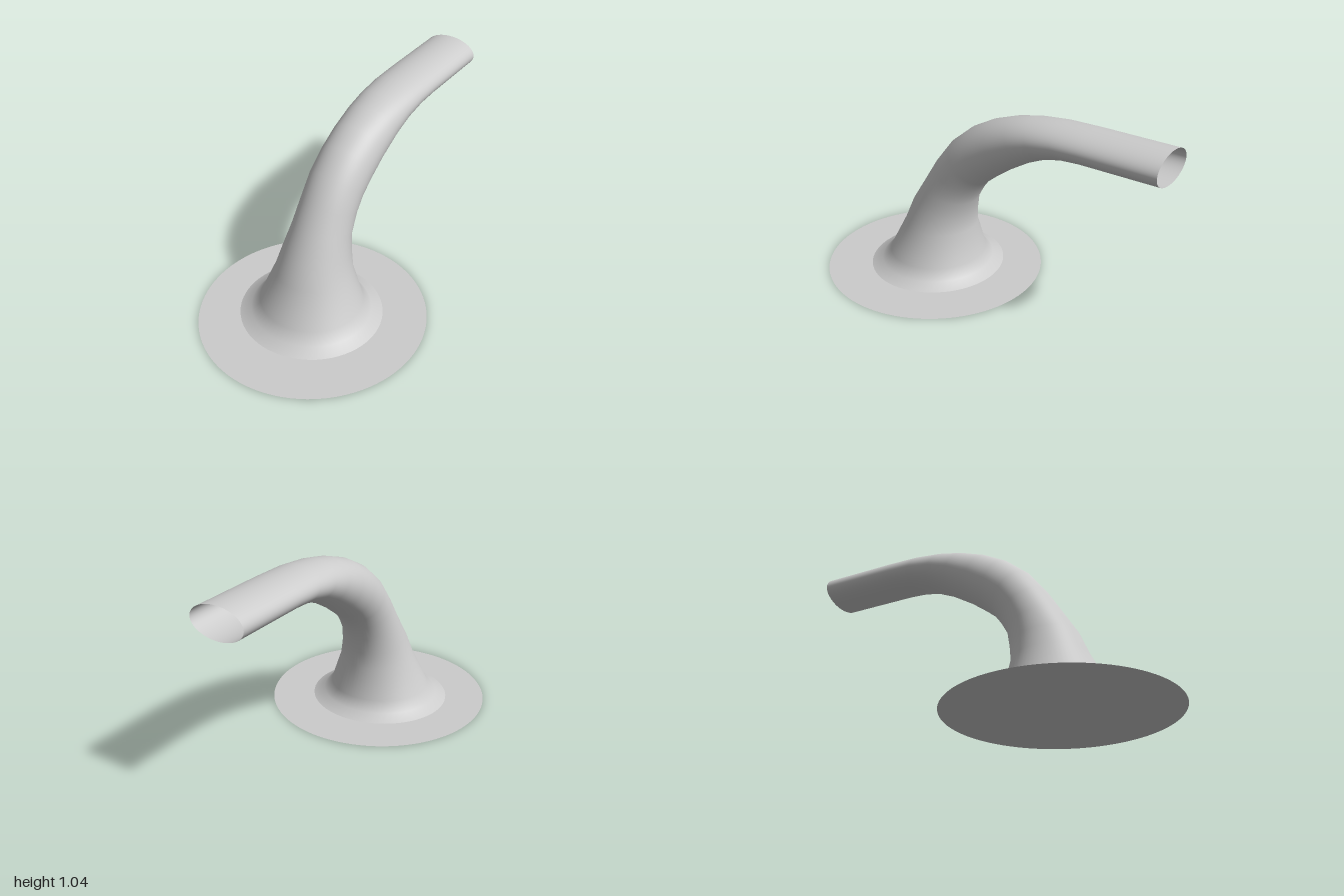
import * as THREE from 'three';

// Cross-sections from foot to open end: [front z, front y, back z, back y, half width]
const SECTIONS = [
  [0.755, 0.01, 0.015, 0.01, 0.385],
  [0.695, 0.04, 0.075, 0.04, 0.325],
  [0.645, 0.095, 0.115, 0.095, 0.277],
  [0.55, 0.28, 0.15, 0.27, 0.207],
  [0.5, 0.4, 0.14, 0.36, 0.18],
  [0.42, 0.53, 0.125, 0.45, 0.158],
  [0.34, 0.66, 0.08, 0.53, 0.15],
  [0.24, 0.79, 0.04, 0.585, 0.15],
  [0.12, 0.89, -0.02, 0.635, 0.15],
  [0, 0.955, -0.12, 0.71, 0.15],
  [-0.13, 1.0, -0.25, 0.79, 0.15],
  [-0.25, 1.025, -0.36, 0.84, 0.15],
  [-0.4, 1.04, -0.47, 0.867, 0.15],
  [-0.59, 1.043, -0.57, 0.875, 0.15],
  [-1, 1.043, -1, 0.875, 0.15],
];

// Loft elliptical rings, each tilted to span its front and back points
function loft(sections, sides) {
  const positions = [], indices = [];
  sections.forEach(([fz, fy, bz, by, w], j) => {
    for (let i = 0; i < sides; i++) {
      const a = (i / sides) * Math.PI * 2, s = Math.sin(a);
      positions.push(
        w * Math.cos(a),
        (fy + by) / 2 + ((fy - by) / 2) * s,
        (fz + bz) / 2 + ((fz - bz) / 2) * s
      );
      if (j < sections.length - 1) {
        const n = (i + 1) % sides, p = j * sides, q = p + sides;
        indices.push(p + i, q + i, p + n, q + i, q + n, p + n);
      }
    }
  });
  const geometry = new THREE.BufferGeometry();
  geometry.setAttribute('position', new THREE.Float32BufferAttribute(positions, 3));
  geometry.setIndex(indices);
  geometry.computeVertexNormals();
  return geometry;
}

export function createModel() {
  const group = new THREE.Group();
  const material = new THREE.MeshStandardMaterial({ color: 0xcccccc, side: THREE.DoubleSide });

  // Curved spout, flared at the foot and open at the far end
  const spout = new THREE.Mesh(loft(SECTIONS, 64), material);
  spout.name = 'spout';
  spout.position.x = -0.015;
  group.add(spout);

  // Flat round base plate
  const basePlate = new THREE.Mesh(new THREE.CircleGeometry(0.607, 96).rotateX(-Math.PI / 2), material);
  basePlate.name = 'basePlate';
  basePlate.position.z = 0.393;
  group.add(basePlate);

  return group;
}
